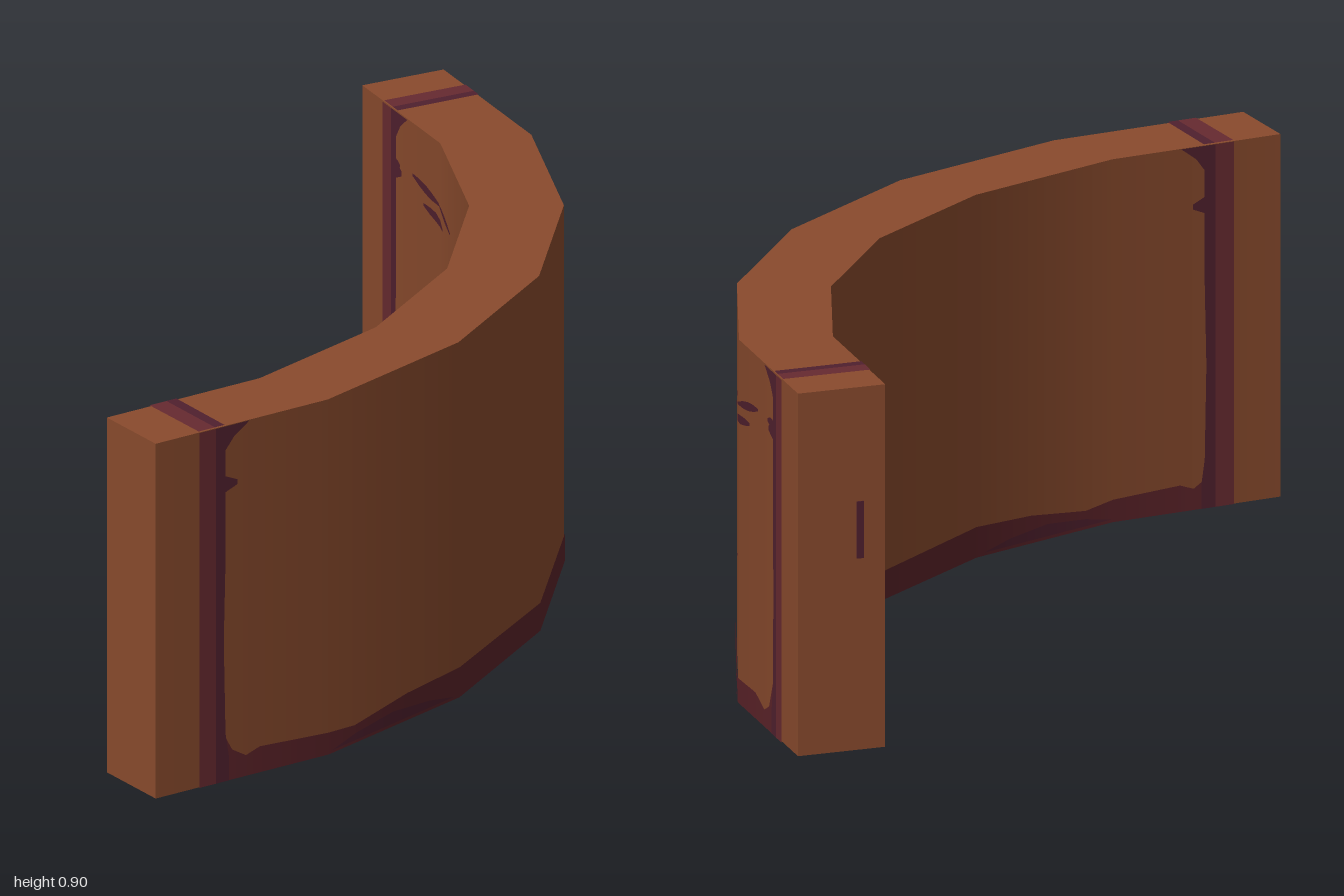
import * as THREE from 'three';

const H = 0.89, OUT = 2, IN = 1.775, STEP = Math.PI / 12;
const lerp = THREE.MathUtils.lerp;

// Point on the faceted arc: u runs 0..6, one unit per facet
function arc(R, u, y) {
  const i = Math.min(5, Math.max(0, Math.floor(u))), f = u - i;
  const a = i * STEP, b = a + STEP;
  return new THREE.Vector3(
    -1 + R * lerp(Math.sin(a), Math.sin(b), f), y,
    -1 + R * lerp(Math.cos(a), Math.cos(b), f));
}

// Smooth sideways normal at u
function radial(u, sign) {
  const t = THREE.MathUtils.clamp(u, 0.5, 5.5) * STEP;
  return new THREE.Vector3(Math.sin(t) * sign, 0, Math.cos(t) * sign);
}

// Strip of quads between edges a(t) and b(t), facing along n(t)
function strip(ts, a, b, n) {
  const pos = [], nor = [], idx = [];
  for (const t of ts) {
    for (const p of [a(t), b(t)]) {
      pos.push(p.x, p.y, p.z);
      nor.push(...n(t).toArray());
    }
  }
  const [t0, t1] = ts, p = a(t0);
  let flip = false;
  // choose corner order from the first quad with some width
  const w = b(t1).sub(a(t1)).add(b(t0).sub(p));
  const along = a(t1).add(b(t1)).sub(p).sub(b(t0));
  flip = w.cross(along).dot(n(t0)) < 0;
  for (let i = 0; i < ts.length - 1; i++) {
    const k = i * 2;
    if (flip) idx.push(k, k + 2, k + 1, k + 1, k + 2, k + 3);
    else idx.push(k, k + 1, k + 2, k + 1, k + 3, k + 2);
  }
  const g = new THREE.BufferGeometry();
  g.setAttribute('position', new THREE.Float32BufferAttribute(pos, 3));
  g.setAttribute('normal', new THREE.Float32BufferAttribute(nor, 3));
  g.setIndex(idx);
  return g;
}

// Piecewise-linear lookup in [t, value] pairs
function sample(table, t) {
  for (let i = 1; i < table.length; i++) {
    const [t0, v0] = table[i - 1], [t1, v1] = table[i];
    if (t <= t1) return lerp(v0, v1, (t - t0) / (t1 - t0));
  }
  return table[table.length - 1][1];
}

export function createModel() {
  const mat = (name, color) => {
    const m = new THREE.MeshStandardMaterial({ color });
    m.name = name;
    return m;
  };
  const clay = mat('clay brown', 0x8a4b2d);
  const maroon = mat('maroon', 0x672a30);
  const band = mat('dark red', 0x5c2329);
  const plum = mat('plum', 0x50202e);

  const model = new THREE.Group();
  model.name = 'curvedWall';
  const add = (name, geometry, material) => {
    const m = new THREE.Mesh(geometry, material);
    m.name = name;
    model.add(m);
  };
  const corners = [0, 1, 2, 3, 4, 5, 6];

  // Top and bottom faces
  for (const [name, y, s] of [['topFace', H, 1], ['bottomFace', 0, -1]]) {
    add(name, strip(corners, u => arc(IN, u, y), u => arc(OUT, u, y),
      () => new THREE.Vector3(0, s, 0)), clay);
  }
  // End faces
  for (const [name, u, n] of [['rightEnd', 0, [-1, 0, 0]], ['leftEnd', 6, [0, 0, -1]]]) {
    add(name, strip([0, H], y => arc(IN, u, y), y => arc(OUT, u, y),
      () => new THREE.Vector3(...n)), clay);
  }

  // Worn upper edge of the bottom band: [u, height]
  const bandTop = [[0.39, 0.12], [0.44, 0.075], [0.52, 0.052], [0.6, 0.065], [1, 0.055],
    [1.2, 0.045], [1.6, 0.068], [2, 0.075], [3, 0.07], [4, 0.068], [4.4, 0.058],
    [4.65, 0.04], [5, 0.06], [5.3, 0.064], [5.45, 0.042], [5.53, 0.06], [5.61, 0.14]];
  // Worn inner edge of the end stripes: [height, extra u]
  const stripeEdge = [[0, 0.02], [0.06, 0.02], [0.12, 0], [0.35, -0.01], [0.55, 0], [0.725, 0],
    [0.738, 0.07], [0.75, 0.07], [0.765, 0], [0.83, 0], [0.86, 0.05], [0.89, 0.14]];
  // Scratches: [u start, u end, y start, y end, thickness]
  const scratches = [[4.62, 5.0, 0.72, 0.735, 0.014], [5.0, 5.34, 0.735, 0.762, 0.022],
    [4.88, 5.2, 0.69, 0.708, 0.022], [4.43, 4.57, 0.668, 0.67, 0.016],
    [5.5, 5.61, 0.76, 0.765, 0.02], [4.71, 4.77, 0.33, 0.33, 0.008]];

  // Outer and inner sides; cuts are the stripe limits in u from each end
  const sides = [
    { label: 'outer', R: OUT, sign: 1, cuts: [0.25, 0.345, 0.4] },
    { label: 'inner', R: IN, sign: -1, cuts: [0.28, 0.39, 0.455] },
  ];
  for (const { label, R, sign, cuts } of sides) {
    const n = u => radial(u, sign);
    const lift = d => R + sign * d;
    add(label + 'Face', strip(corners, u => arc(R, u, 0), u => arc(R, u, H), n), clay);

    // Bottom band, following the facets
    const us = [...new Set([...bandTop.map(p => p[0]), ...corners.slice(1, 6)])].sort((a, b) => a - b);
    add(label + 'BottomBand', strip(us, u => arc(lift(0.003), u, 0),
      u => arc(lift(0.003), u, sample(bandTop, u)), n), band);

    // Dark patches in the band
    for (const [a, b, h] of [[1.02, 1.95, 0.03], [4.55, 4.95, 0.025]]) {
      const ts = [0, 0.2, 0.5, 0.8, 1].map(t => lerp(a, b, t));
      add(label + 'BandPatch', strip(ts, u => arc(lift(0.005), u, 0.008),
        u => arc(lift(0.005), u, 0.008 + h * Math.sin(Math.PI * (u - a) / (b - a))), n), plum);
    }

    // Two-tone stripes near both ends
    for (const end of [0, 1]) {
      const U = u => (end ? 6 - u : u);
      const [c0, c1, c2] = cuts;
      add(label + 'EndStripe', strip([0, H], y => arc(lift(0.004), U(c0), y),
        y => arc(lift(0.004), U(c1), y), () => n(U(c1))), maroon);
      add(label + 'EndStripeEdge', strip(stripeEdge.map(p => p[0]),
        y => arc(lift(0.004), U(c1), y),
        y => arc(lift(0.004), U(c2 + sample(stripeEdge, y)), y), () => n(U(c1))), plum);
    }

    // Scratches near the left end
    for (const [a, b, y0, y1, w] of scratches) {
      const f = u => (u - a) / (b - a);
      const half = u => w * (0.15 + 0.35 * Math.sin(Math.PI * f(u)));
      add(label + 'Scratch', strip([0, 0.25, 0.5, 0.75, 1].map(t => lerp(a, b, t)),
        u => arc(lift(0.003), u, lerp(y0, y1, f(u)) - half(u)),
        u => arc(lift(0.003), u, lerp(y0, y1, f(u)) + half(u)), n), plum);
    }
  }

  // Stripes continue across the top and bottom
  const [o, i] = sides.map(s => s.cuts);
  for (const [y, s] of [[H + 0.003, 1], [-0.003, -1]]) {
    for (const end of [0, 1]) {
      const U = u => (end ? 6 - u : u);
      for (const k of [0, 1]) {
        add(s > 0 ? 'topStripe' : 'bottomStripe', strip([0, 1],
          t => arc(IN, U(lerp(i[k], i[k + 1], t)), y),
          t => arc(OUT, U(lerp(o[k], o[k + 1], t)), y),
          () => new THREE.Vector3(0, s, 0)), k ? plum : maroon);
      }
    }
  }

  // Small scratch on the left end
  const scratch = new THREE.Mesh(new THREE.BoxGeometry(0.018, 0.14, 0.004), plum);
  scratch.name = 'endScratch';
  scratch.position.set(0.84, 0.54, -1.001);
  model.add(scratch);

  return model;
}
